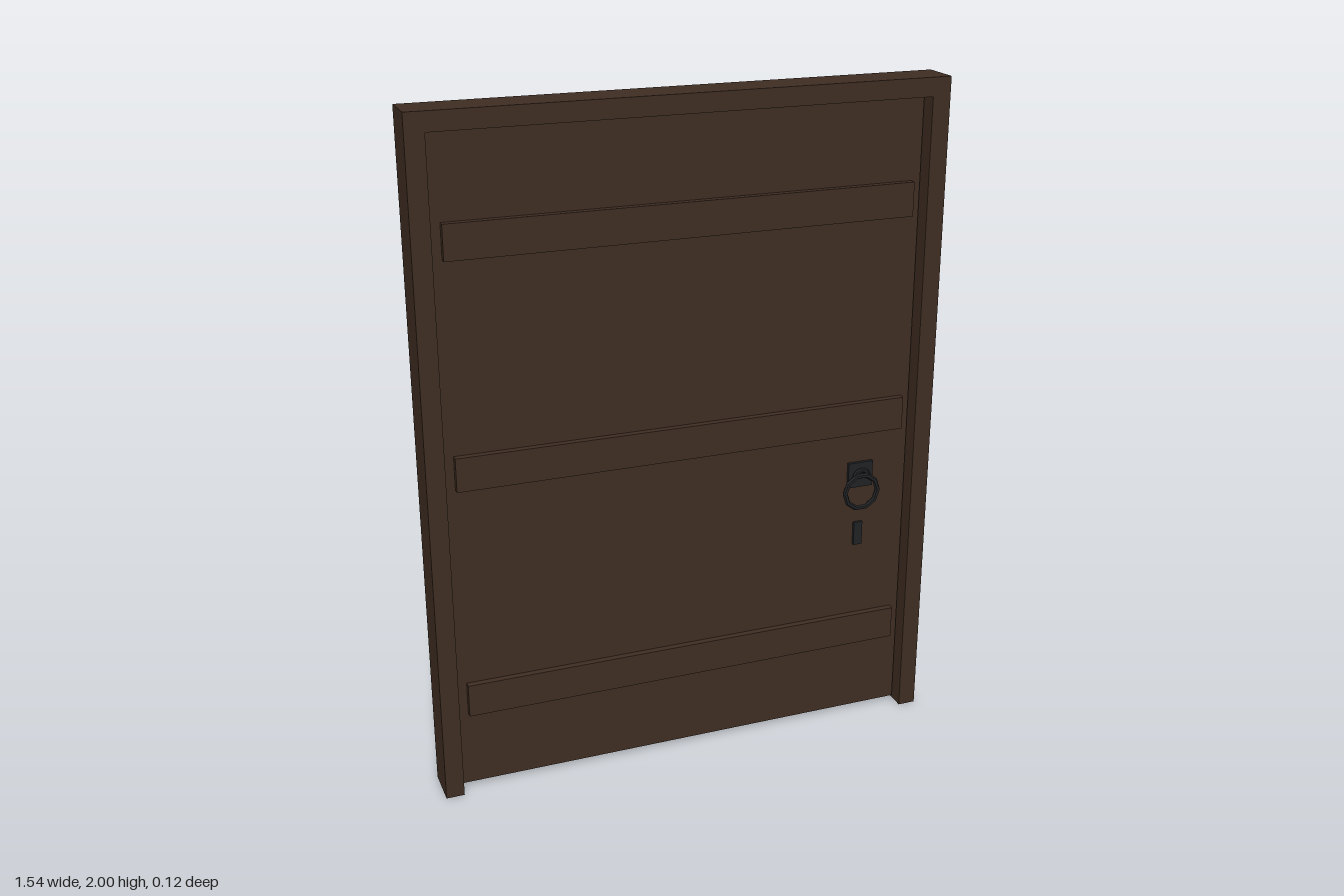
import * as THREE from 'three';

export function createModel() {
  const model = new THREE.Group();
  model.name = 'door';
  const wood = new THREE.MeshStandardMaterial({ name: 'darkWood', color: 0x3d2c22, flatShading: true });
  const iron = new THREE.MeshStandardMaterial({ name: 'blackIron', color: 0x1f2123, flatShading: true });

  const add = (parent, name, geometry, material, x, y, z) => {
    const mesh = new THREE.Mesh(geometry, material);
    mesh.name = name;
    mesh.position.set(x, y, z);
    parent.add(mesh);
    return mesh;
  };
  const box = (w, h, d) => new THREE.BoxGeometry(w, h, d);

  // Frame: one arch of two posts and a lintel
  const outline = new THREE.Shape();
  [[-0.768, 0], [-0.714, 0], [-0.714, 1.946], [0.714, 1.946], [0.714, 0], [0.768, 0], [0.768, 2], [-0.768, 2]]
    .forEach(([x, y], i) => (i ? outline.lineTo(x, y) : outline.moveTo(x, y)));
  add(model, 'frame', new THREE.ExtrudeGeometry(outline, { depth: 0.12, bevelEnabled: false }), wood, 0, 0, -0.06);

  // Door leaf with a narrow gap to the frame
  const half = 0.02;
  add(model, 'doorLeaf', box(1.416, 1.926, half * 2), wood, 0, 0.977, 0);

  // Strap hinge outline with an arrowhead tip
  const strap = new THREE.Shape();
  [[-0.712, -0.026], [0.265, -0.026], [0.25, -0.043], [0.37, 0], [0.25, 0.043], [0.265, 0.026], [-0.712, 0.026]]
    .forEach(([x, y], i) => (i ? strap.lineTo(x, y) : strap.moveTo(x, y)));
  const strapGeo = new THREE.ExtrudeGeometry(strap, { depth: 0.01, bevelEnabled: false });
  const boltGeo = new THREE.CylinderGeometry(0.013, 0.016, 0.008, 8);
  boltGeo.rotateX(-Math.PI / 2);
  const knuckleGeo = new THREE.CylinderGeometry(0.012, 0.012, 0.09, 8);

  // Front battens, each backed by a hinge on the rear face
  for (const y of [0.297, 1.004, 1.655]) {
    add(model, 'batten', box(1.362, 0.1, 0.02), wood, 0, y, half + 0.01);
    const hinge = new THREE.Group();
    hinge.name = 'hinge';
    hinge.position.y = y;
    model.add(hinge);
    add(hinge, 'strap', strapGeo, iron, 0, 0, -half - 0.01);
    add(hinge, 'knuckle', knuckleGeo, iron, -0.713, 0, -half - 0.008);
    for (const x of [0.15, -0.195, -0.54]) add(hinge, 'bolt', boltGeo, iron, x, 0, -half - 0.013);
  }

  // Ring pull and keyhole plate on both faces
  for (const turn of [0, Math.PI]) {
    const side = turn ? -1 : 1;
    const handle = new THREE.Group();
    handle.name = turn ? 'backHandle' : 'frontHandle';
    handle.position.set(0.555, 0, side * half);
    handle.rotation.y = turn;
    model.add(handle);
    add(handle, 'backPlate', box(0.08, 0.08, 0.01), iron, 0, 0.818, 0.005);
    add(handle, 'ringStaple', new THREE.TorusGeometry(0.023, 0.007, 6, 8, Math.PI), iron, 0, 0.812, 0.016);
    add(handle, 'pullRing', new THREE.TorusGeometry(0.054, 0.008, 6, 10), iron, 0, 0.766, 0.02);
    add(handle, 'keyPlate', box(0.028, 0.075, 0.009), iron, 0, 0.622, 0.0045);
  }

  return model;
}
